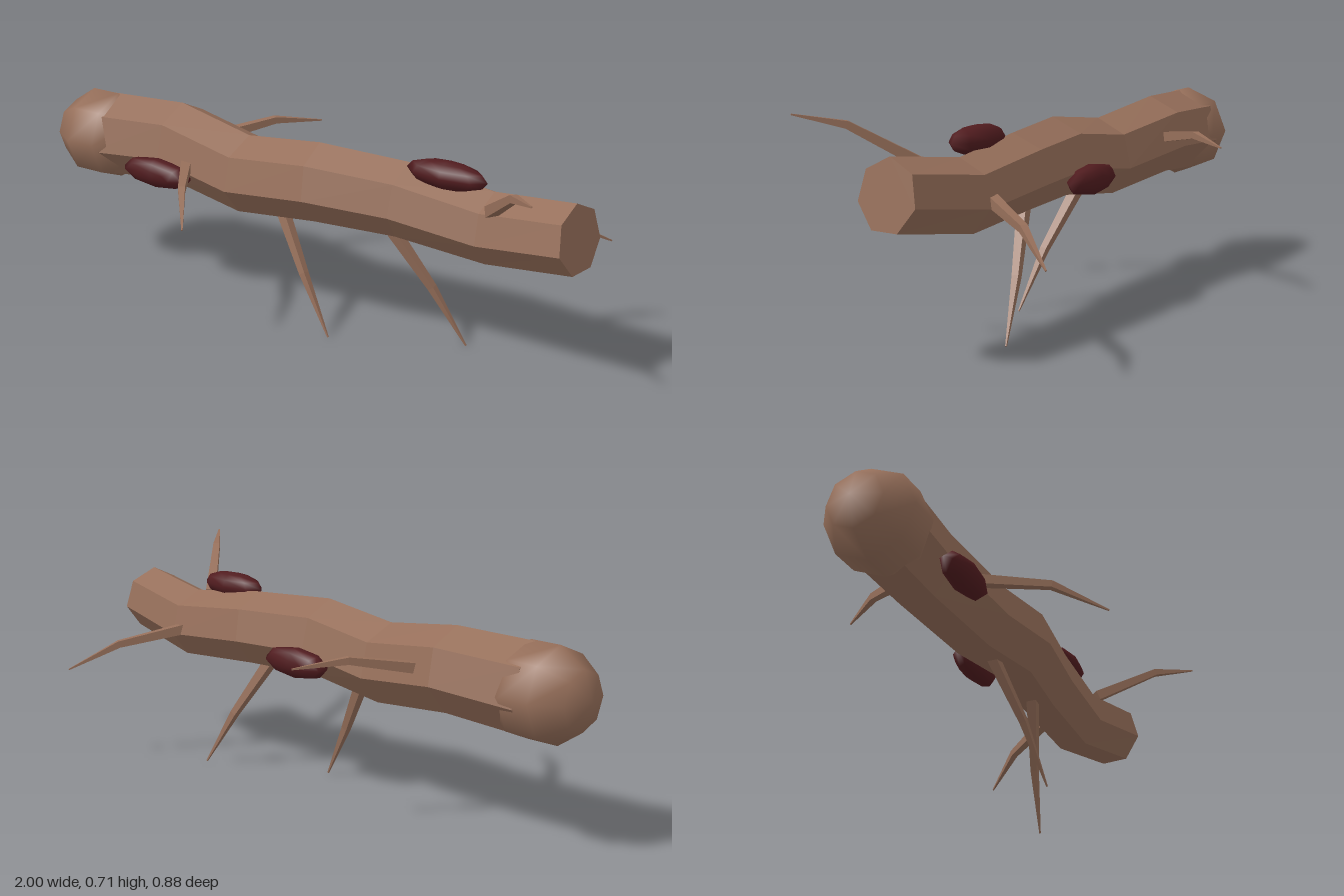
import * as THREE from 'three';

const V = (p) => new THREE.Vector3(...p);

// Faceted tube through [x, y, z, radius] stations, closed at both ends
function loft(stations, sides, up, turn = 0) {
  const pts = stations.map((s) => V(s.slice(0, 3)));
  const n = pts.length;
  const pos = [];
  const index = [];
  pts.forEach((p, i) => {
    const t = pts[Math.min(i + 1, n - 1)].clone().sub(pts[Math.max(i - 1, 0)]).normalize();
    const u = V(up).addScaledVector(t, -t.dot(V(up))).normalize();
    const w = t.clone().cross(u);
    for (let k = 0; k < sides; k++) {
      const a = turn + (k / sides) * Math.PI * 2;
      const r = stations[i][3];
      pos.push(...p.clone().addScaledVector(u, r * Math.cos(a)).addScaledVector(w, r * Math.sin(a)).toArray());
    }
  });
  for (let i = 0; i < n - 1; i++) {
    for (let k = 0; k < sides; k++) {
      const a = i * sides + k;
      const b = i * sides + ((k + 1) % sides);
      index.push(a, b, a + sides, b, b + sides, a + sides);
    }
  }
  const last = (n - 1) * sides;
  for (let k = 1; k < sides - 1; k++) {
    index.push(0, k + 1, k, last, last + k, last + k + 1);
  }
  const g = new THREE.BufferGeometry();
  g.setAttribute('position', new THREE.Float32BufferAttribute(pos, 3));
  g.setIndex(index);
  const flat = g.toNonIndexed();
  flat.computeVertexNormals();
  return flat;
}

export function createModel() {
  const bark = new THREE.MeshStandardMaterial({ color: 0x966f5a });
  bark.name = 'bark brown';
  const dark = new THREE.MeshStandardMaterial({ color: 0x511c1f });
  dark.name = 'dark red';

  const group = new THREE.Group();
  group.name = 'thornyBranch';
  const add = (name, geometry, material) => {
    const mesh = new THREE.Mesh(geometry, material);
    mesh.name = name;
    group.add(mesh);
    return mesh;
  };

  // Crooked seven-sided branch
  add('branch', loft([
    [-0.81, 0.49, -0.01, 0.143],
    [-0.52, 0.505, -0.035, 0.136],
    [-0.21, 0.465, 0.005, 0.131],
    [0.08, 0.5, 0.015, 0.13],
    [0.37, 0.493, -0.02, 0.123],
    [0.68, 0.465, -0.025, 0.115],
    [0.98, 0.508, 0.015, 0.11],
  ], 7, [0, 1, 0]), bark);

  // Rounded knob at one end, poles along x
  const knob = new THREE.SphereGeometry(1, 8, 5).rotateZ(Math.PI / 2).scale(0.175, 0.158, 0.158);
  add('endKnob', knob, bark).position.set(-0.825, 0.485, -0.007);

  // Oval growths, poles facing out of the bark: position, turn about x
  [
    [-0.51, 0.437, 0.115, Math.PI / 2 + 0.25],
    [0.53, 0.613, 0.008, 0],
    [0.08, 0.44, -0.13, -Math.PI / 2 - 0.25],
  ].forEach(([x, y, z, turn], i) => {
    const g = new THREE.SphereGeometry(1, 8, 6).scale(0.14, 0.044, 0.051);
    const growth = add('growth' + (i + 1), g, dark);
    growth.position.set(x, y, z);
    growth.rotation.x = turn;
  });

  // Bent thorns: root, bend and tip
  [
    [[0.71, 0.55, 0.06], [0.87, 0.68, 0.23], [0.98, 0.714, 0.34]],
    [[-0.42, 0.478, 0.07], [-0.265, 0.485, 0.295], [-0.152, 0.42, 0.44]],
    [[-0.45, 0.51, -0.11], [-0.32, 0.545, -0.3], [-0.22, 0.524, -0.438]],
    [[0.64, 0.465, -0.1], [0.78, 0.415, -0.3], [0.888, 0.33, -0.435]],
    [[-0.09, 0.395, 0.005], [0.045, 0.19, 0.063], [0.16, 0.003, 0.093]],
    [[0.31, 0.395, -0.02], [0.445, 0.19, -0.073], [0.558, 0.003, -0.104]],
  ].forEach((path, i) => {
    const radii = [0.024, 0.016, 0.003];
    const up = i < 4 ? [0, 1, 0] : [0, 0, 1];
    add('thorn' + (i + 1), loft(path.map((p, k) => [...p, radii[k]]), 4, up, Math.PI / 4), bark);
  });

  return group;
}
